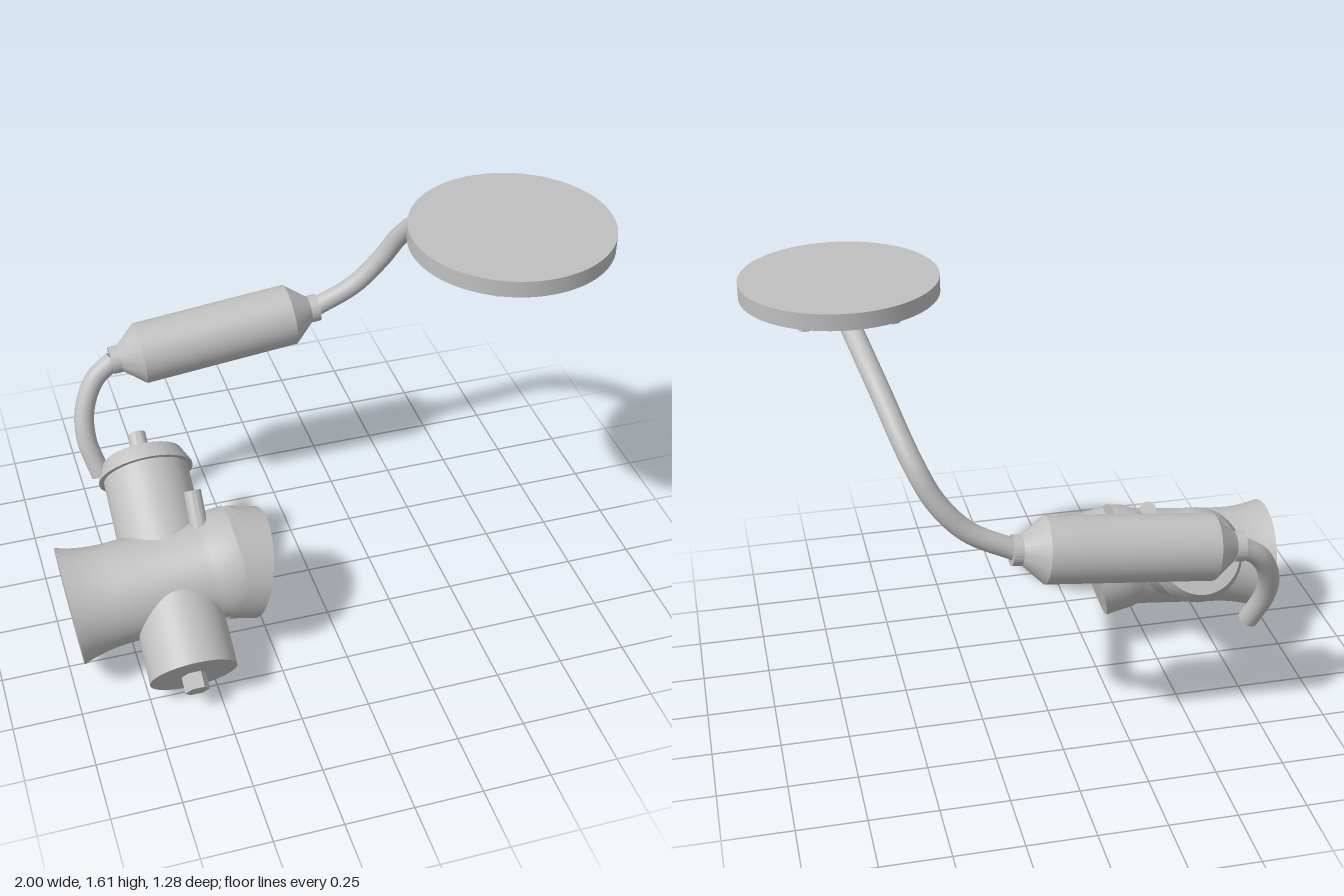
import * as THREE from 'three';
import { toCreasedNormals } from 'three/addons/utils/BufferGeometryUtils.js';

const V = (x, y, z) => new THREE.Vector3(x, y, z);
const UP = V(0, 1, 0), FORWARD = V(0, 0, 1);

export function createModel() {
  const model = new THREE.Group();
  model.name = 'valveAndMuffler';
  const steel = new THREE.MeshStandardMaterial({ color: 0xc0c0c0 });
  steel.name = 'light grey metal';

  const add = (name, geometry, parent = model) => {
    const mesh = new THREE.Mesh(geometry, steel);
    mesh.name = name;
    parent.add(mesh);
    return mesh;
  };

  // Closed turned part: [radius, distance] pairs along an axis from a start point
  const turned = (name, start, axis, profile, sides = 64, parent = model) => {
    const pts = [[0, profile[0][1]], ...profile, [0, profile[profile.length - 1][1]]];
    const lathe = new THREE.LatheGeometry(pts.map(([r, d]) => new THREE.Vector2(r, d)), sides);
    const mesh = add(name, toCreasedNormals(lathe, 0.5), parent);
    mesh.position.copy(start);
    mesh.quaternion.setFromUnitVectors(UP, axis.clone().normalize());
    return mesh;
  };

  // Bent round pipe with both ends closed
  const pipe = (name, points, radius) => {
    const group = new THREE.Group();
    group.name = name;
    model.add(group);
    const curve = new THREE.CatmullRomCurve3(points);
    add(name + 'Tube', new THREE.TubeGeometry(curve, 64, radius, 32), group);
    for (const t of [0, 1]) {
      const cap = add(name + 'End', new THREE.CircleGeometry(radius, 32), group);
      cap.position.copy(curve.getPoint(t));
      cap.quaternion.setFromUnitVectors(FORWARD, curve.getTangent(t).multiplyScalar(t ? 1 : -1));
    }
  };

  // Ceiling disc with a ring of six bolts below
  const discCentre = V(0.645, 1.555, 0.242);
  turned('mountingDisc', discCentre, UP, [[0.354, 0], [0.354, 0.06]], 96);
  for (let i = 0; i < 6; i++) {
    const a = (i * Math.PI) / 3;
    const foot = V(0.3 * Math.cos(a), -0.02, 0.3 * Math.sin(a)).add(discCentre);
    turned('discBolt', foot, UP, [[0.025, 0], [0.025, 0.03]], 24);
  }

  // Upper and lower pipes
  pipe('upperPipe', [
    V(0.64, 1.525, -0.005), V(0.585, 1.4, -0.25), V(0.505, 1.2, -0.45),
    V(0.44, 1.075, -0.495), V(0.34, 0.965, -0.513), V(0.18, 0.88, -0.523),
  ], 0.037);
  pipe('lowerPipe', [
    V(-0.62, 0.795, -0.523), V(-0.7, 0.735, -0.507), V(-0.755, 0.63, -0.468),
    V(-0.765, 0.52, -0.42), V(-0.73, 0.385, -0.36),
  ], 0.038);

  // Muffler with conical ends and collars
  turned('muffler', V(-0.218, 0.837, -0.523), V(1, 0.105, 0), [
    [0.053, -0.415], [0.053, -0.38], [0.05, -0.38], [0.118, -0.3],
    [0.118, 0.3], [0.05, 0.38], [0.053, 0.38], [0.053, 0.415],
  ]);

  // Valve body with flared mouths
  turned('valveBody', V(-0.975, 0.295, 0.238), V(1, 0.1, 0), [
    [0.217, 0], [0.203, 0.045], [0.194, 0.09], [0.189, 0.13], [0.187, 0.17],
    [0.187, 0.5], [0.192, 0.53], [0.205, 0.57], [0.206, 0.627],
  ], 96);

  // End cap set at an angle, leaving a narrow wedge at the top
  turned('tiltedCap', V(-0.39, 0.356, 0.237), V(0.97, -0.243, 0), [[0.206, 0], [0.206, 0.113]], 96);

  // Sloping branch through the body, with a tapered collar at its back end
  const slope = V(0, 0.497, -0.868).normalize();
  const front = V(-0.597, 0.147, 0.56);
  const along = (d) => front.clone().addScaledVector(slope, d);
  turned('crossBranch', front, slope, [[0.16, 0], [0.16, 0.8]]);
  turned('branchCollar', along(0.785), slope, [[0.178, 0], [0.178, 0.008], [0.15, 0.068]]);
  turned('backPin', along(0.84), slope, [[0.034, 0], [0.034, 0.113]], 32);
  turned('hexNut', along(-0.06), slope, [[0.045, 0], [0.045, 0.07]], 6).rotateY(Math.PI / 6);

  // Small spout on top of the body
  turned('sideSpout', V(-0.475, 0.47, 0.24), V(0, 0.77, -0.64), [[0.032, 0], [0.032, 0.195]], 32);

  return model;
}
